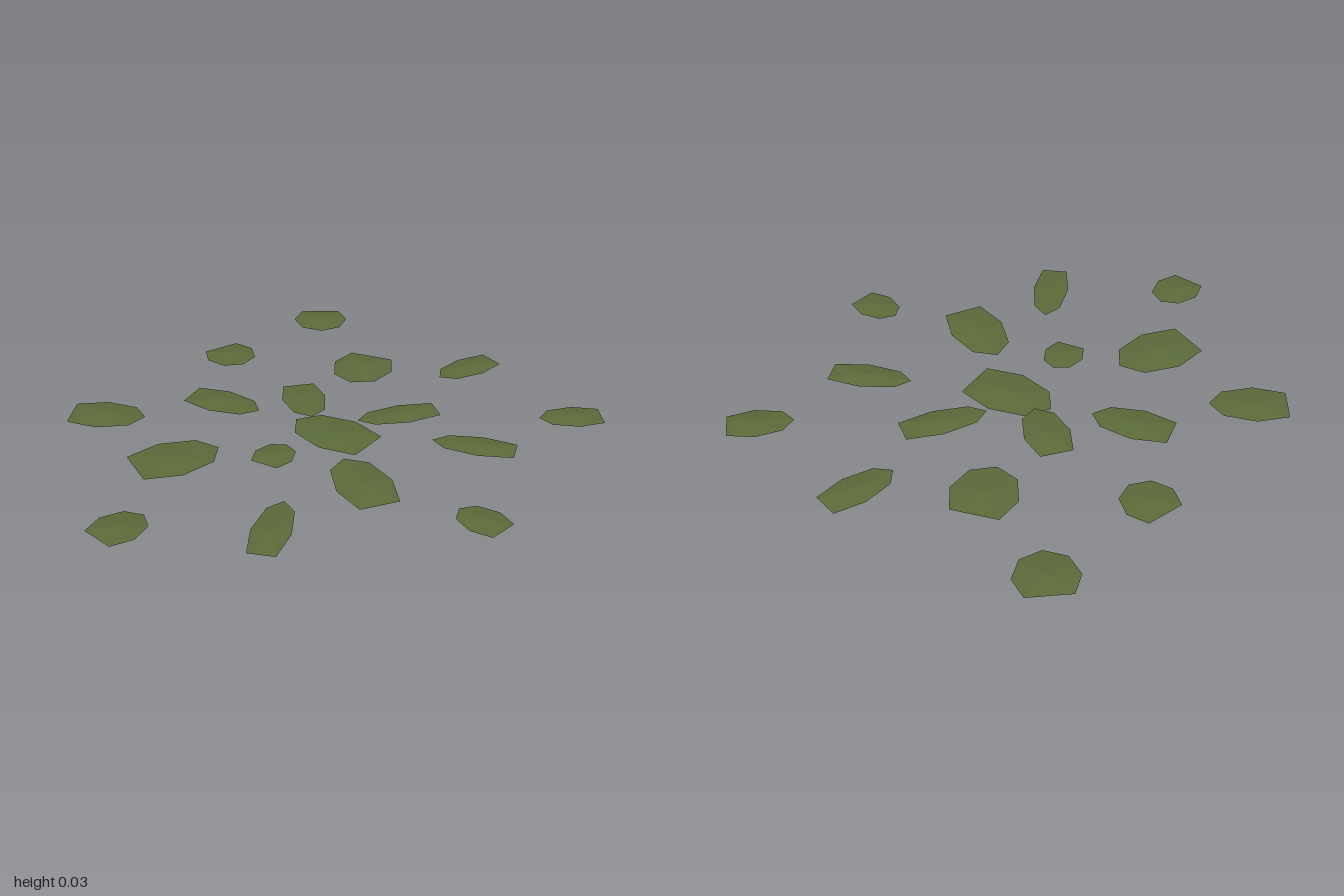
import * as THREE from 'three';

// Floating leaf pads: [centre x, centre z, tip x, tip z, half width, height layer]
const PADS = [
  [0.062, -0.097, -0.205, 0, 0.125, 0],
  [-0.019, 0.208, -0.011, -0.098, 0.08, 2],
  [-0.215, -0.244, 0.122, 0.106, 0.09, 1],
  [0.376, 0.174, -0.171, -0.109, 0.111, 2],
  [0.178, -0.392, -0.118, 0.157, 0.073, 0],
  [-0.476, -0.017, 0.181, -0.033, 0.089, 1],
  [-0.328, 0.448, 0.089, -0.178, 0.128, 1],
  [0.575, -0.322, -0.177, 0.067, 0.072, 2],
  [-0.19, -0.634, 0.04, 0.149, 0.129, 0],
  [0.278, 0.602, -0.083, -0.183, 0.074, 1],
  [-0.711, -0.37, 0.106, 0.04, 0.109, 1],
  [0.841, 0.103, -0.116, -0.018, 0.084, 1],
  [-0.793, 0.338, 0.153, -0.088, 0.105, 0],
  [0.198, -0.876, -0.053, 0.161, 0.077, 2],
  [-0.177, 0.897, 0.017, -0.122, 0.098, 0],
  [-0.595, -0.877, 0.075, 0.097, 0.118, 2],
  [0.752, -0.766, -0.112, 0.096, 0.081, 1],
];
const LAYER = 0.01, DOME = 0.01, RIM = 7;

// Stretched octagon without its rear corner, fanned from a slightly raised middle
function padGeometry(length, width) {
  const positions = [0, DOME, 0];
  const index = [];
  for (let i = 0; i < RIM; i++) {
    const angle = (i - 3) * Math.PI / 4;
    positions.push(length * Math.cos(angle), 0, width * Math.sin(angle));
    index.push(0, (i + 1) % RIM + 1, i + 1);
  }
  const geometry = new THREE.BufferGeometry();
  geometry.setAttribute('position', new THREE.Float32BufferAttribute(positions, 3));
  geometry.setIndex(index);
  const flat = geometry.toNonIndexed();
  flat.computeVertexNormals();
  return flat;
}

export function createModel() {
  const group = new THREE.Group();
  group.name = 'leafPads';
  const leafGreen = new THREE.MeshStandardMaterial({ color: 0x5c6b3a, side: THREE.DoubleSide, flatShading: true });
  leafGreen.name = 'leafGreen';

  PADS.forEach(([x, z, tipX, tipZ, width, layer], i) => {
    const pad = new THREE.Mesh(padGeometry(Math.hypot(tipX, tipZ), width), leafGreen);
    pad.name = `leafPad${i + 1}`;
    pad.position.set(x, layer * LAYER, z);
    pad.rotation.y = -Math.atan2(tipZ, tipX);
    group.add(pad);
  });
  return group;
}
